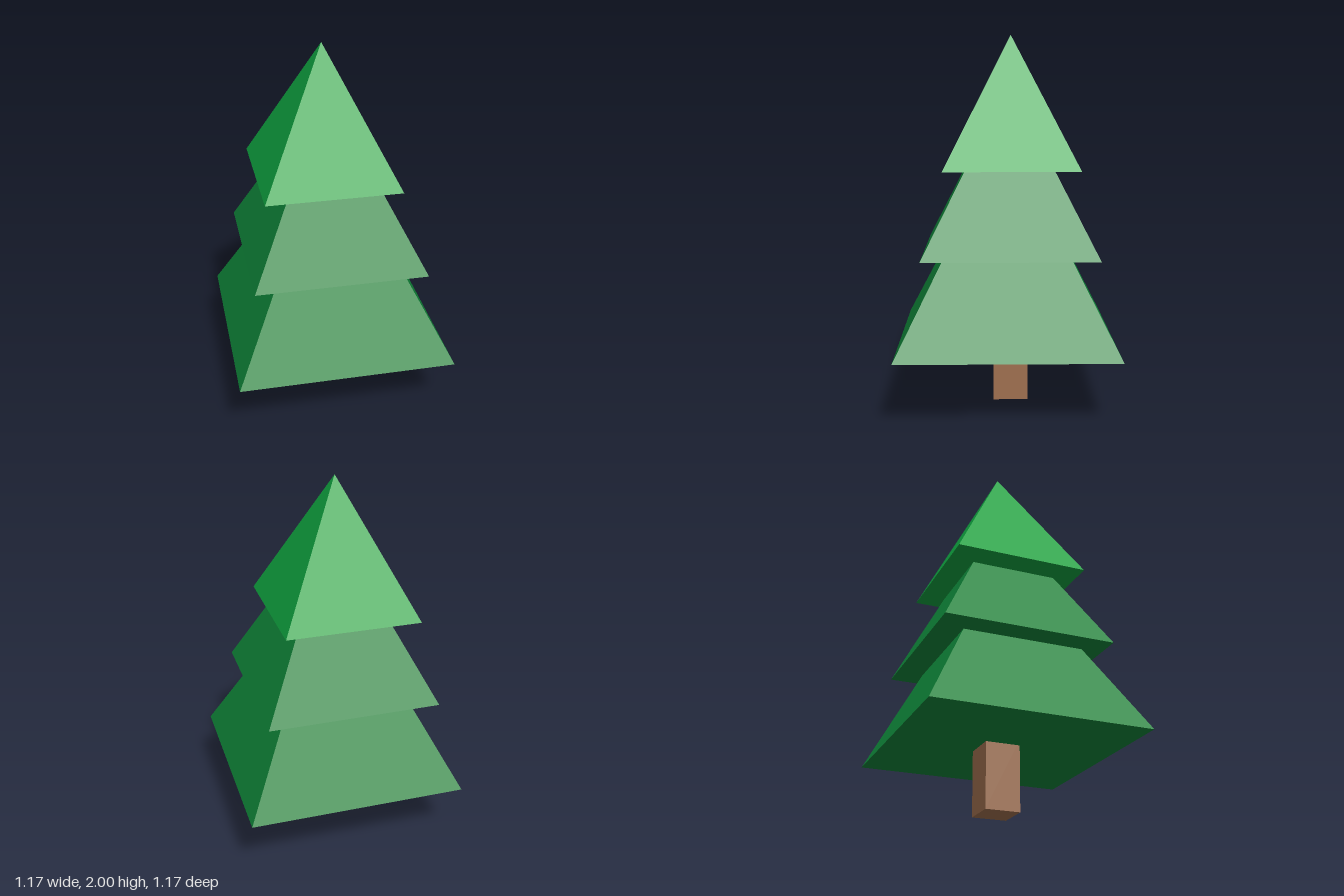
import * as THREE from 'three';

const mat = (name, color) => {
  const m = new THREE.MeshStandardMaterial({ color });
  m.name = name;
  m.flatShading = true;
  return m;
};

export function createModel() {
  const tree = new THREE.Group();
  tree.name = 'tree';
  const lightGreen = mat('light green', 0x0fa440);
  const darkGreen = mat('dark green', 0x0f8639);
  const brown = mat('bark brown', 0xa0704f);

  // Square trunk, reaching slightly into the lowest tier
  const trunk = new THREE.Mesh(new THREE.BoxGeometry(0.187, 0.38, 0.187), brown);
  trunk.name = 'trunk';
  trunk.position.set(-0.007, 0.19, -0.024);
  tree.add(trunk);

  // Square pyramids of foliage, each slightly off centre
  const tiers = [
    { name: 'lowerFoliage', x: 0, z: -0.002, base: 0.35, half: 0.583, height: 1.14, material: darkGreen },
    { name: 'middleFoliage', x: -0.007, z: -0.017, base: 0.842, half: 0.462, height: 0.91, material: darkGreen },
    { name: 'upperFoliage', x: -0.027, z: -0.026, base: 1.29, half: 0.36, height: 0.71, material: lightGreen },
  ];
  for (const t of tiers) {
    const geometry = new THREE.ConeGeometry(t.half * Math.SQRT2, t.height, 4);
    geometry.rotateY(Math.PI / 4);
    const mesh = new THREE.Mesh(geometry, t.material);
    mesh.name = t.name;
    mesh.position.set(t.x, t.base + t.height / 2, t.z);
    tree.add(mesh);
  }
  return tree;
}
